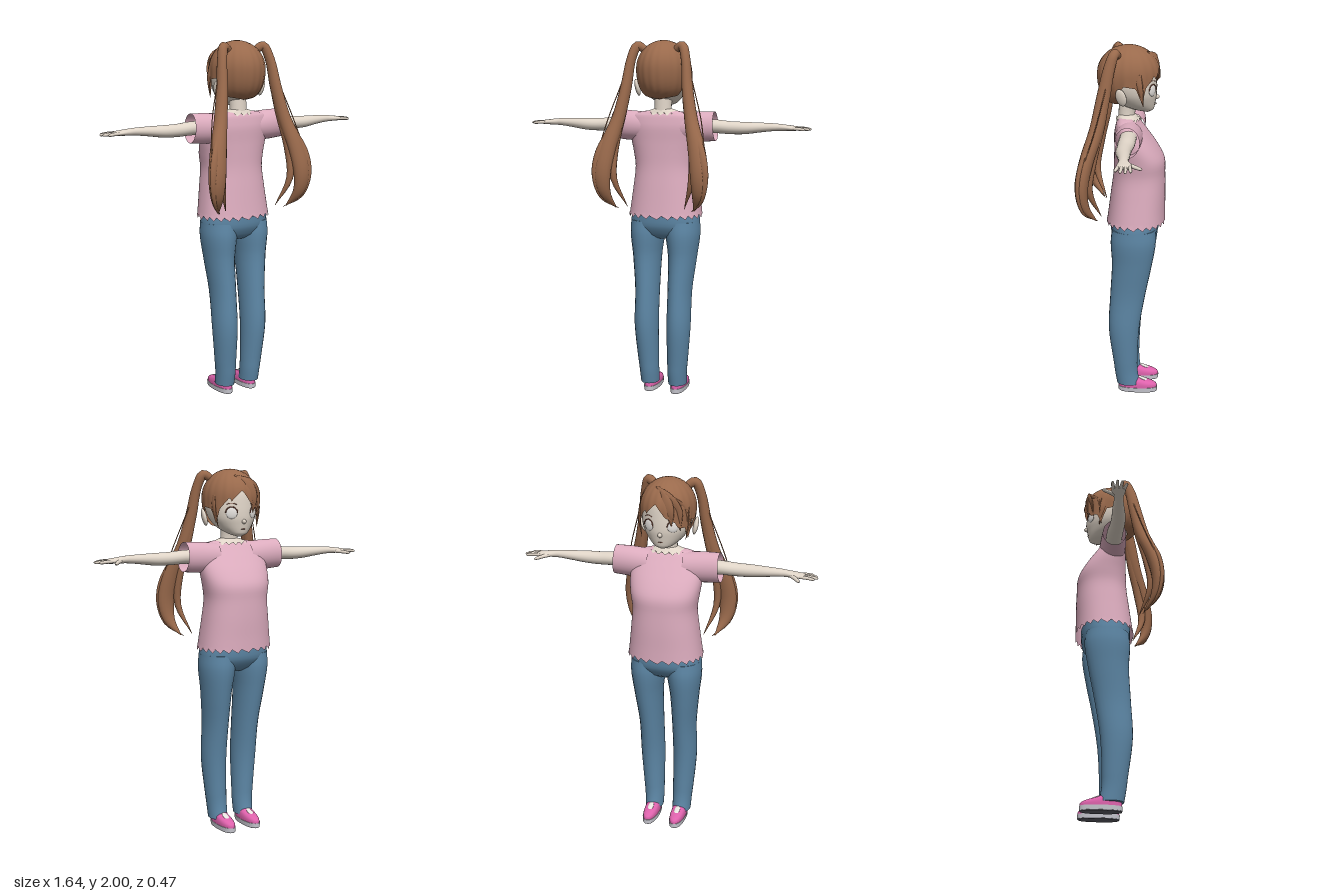
import * as THREE from 'three';

const V = (x, y, z) => new THREE.Vector3(x, y, z);
const X = V(1, 0, 0), Y = V(0, 1, 0), Z = V(0, 0, 1);
const mat = (name, color, double) => {
  const m = new THREE.MeshStandardMaterial({ color });
  m.name = name;
  if (double) m.side = THREE.DoubleSide;
  return m;
};

// Skin a list of closed rings (arrays of points) into a smooth surface
function skinRings(rings, caps) {
  const n = rings[0].length, pos = [], idx = [];
  const add = (p) => pos.push(p.x, p.y, p.z);
  rings.forEach((r) => r.forEach(add));
  for (let j = 0; j < rings.length - 1; j++) for (let i = 0; i < n; i++) {
    const a = j * n + i, b = j * n + (i + 1) % n, c = a + n, d = b + n;
    idx.push(a, c, b, b, c, d);
  }
  if (caps) [rings[0], rings[rings.length - 1]].forEach((r, end) => {
    const base = pos.length / 3;
    r.forEach(add);
    add(r.reduce((s, p) => s.add(p), V(0, 0, 0)).divideScalar(n));
    for (let i = 0; i < n; i++) {
      const a = base + i, b = base + (i + 1) % n;
      end ? idx.push(base + n, b, a) : idx.push(base + n, a, b);
    }
  });
  const g = new THREE.BufferGeometry();
  g.setAttribute('position', new THREE.Float32BufferAttribute(pos, 3));
  g.setIndex(idx);
  g.computeVertexNormals();
  return g;
}

// Sweep ellipses along rows of [x, y, z, radiusU, radiusV]
function sweep(rows, { axis, ref = Z, n = 20, p = 2, caps = true, steps = 4, edit } = {}) {
  const path = new THREE.CatmullRomCurve3(rows.map((r) => V(r[0], r[1], r[2])));
  const radii = new THREE.CatmullRomCurve3(rows.map((r, i) => V(r[3], r[4], i * 0.05)));
  const total = (rows.length - 1) * steps, rings = [];
  const pw = (c) => Math.sign(c) * Math.abs(c) ** (2 / p);
  for (let j = 0; j <= total; j++) {
    const c = path.getPoint(j / total), r = radii.getPoint(j / total);
    const t = axis || path.getTangent(j / total);
    const u = t.clone().cross(ref).normalize(), v = u.clone().cross(t);
    rings.push(Array.from({ length: n }, (_, i) => {
      const a = i / n * Math.PI * 2;
      const q = c.clone().addScaledVector(u, pw(Math.cos(a)) * Math.max(r.x, 0.0005))
        .addScaledVector(v, pw(Math.sin(a)) * Math.max(r.y, 0.0005));
      if (edit) edit(q, j, i);
      return q;
    }));
  }
  return skinRings(rings, caps);
}

// Hair cap: its lower edge follows [angle from face, height] points
function hairCap() {
  const edge = [[-180, 1.68], [-112, 1.7], [-97, 1.8], [-75, 1.79], [-63, 1.7], [-54, 1.76], [-38, 1.765], [-33, 1.79],
    [-12, 1.82], [8, 1.89], [20, 1.86], [30, 1.83], [34, 1.85], [54, 1.79], [62, 1.71], [74, 1.79], [97, 1.8], [112, 1.7], [180, 1.68]];
  const n = 120, rows = 18, rings = [];
  for (let j = 0; j < rows; j++) {
    rings.push(Array.from({ length: n }, (_, i) => {
      const deg = i / n * 360 - 180, a = deg * Math.PI / 180;
      const k = Math.max(1, edge.findIndex((e) => e[0] >= deg));
      const [e0, e1] = [edge[k - 1], edge[k]];
      const low = THREE.MathUtils.mapLinear(deg, e0[0], e1[0], e0[1], e1[1]);
      const th = Math.acos((low - 1.845) / 0.167) * (1 - j / (rows - 1)) + 0.001;
      let r = Math.sin(th);
      if (th > Math.PI / 2) r = Math.abs(deg) < 95 ? 0.97 + 0.03 * r : r ** 0.55;
      r *= 1 + 0.008 * Math.sin(a * 20);
      return V(0.149 * r * Math.sin(a), 1.845 + (th < Math.PI / 2 ? 0.155 : 0.167) * Math.cos(th), -0.03 - 0.17 * r * Math.cos(a));
    }));
  }
  return skinRings(rings, false);
}

export function createModel() {
  const model = new THREE.Group();
  model.name = 'girl';
  const hair = mat('brownHair', 0x9a6a4c, true), skin = mat('skin', 0xe0d5c8), shirt = mat('pinkShirt', 0xdcacbe, true);
  const denim = mat('blueDenim', 0x5d87a6), pink = mat('shoePink', 0xde62ac), sole = mat('soleGrey', 0xc8c8d0);
  const dark = mat('soleDark', 0x5c5c64), white = mat('white', 0xece8e4), lash = mat('lashBrown', 0x7d4a3a);
  const add = (name, geo, m, parent = model) => {
    const mesh = new THREE.Mesh(geo, m);
    mesh.name = name;
    parent.add(mesh);
    return mesh;
  };
  const ball = (name, m, p, s, parent) => {
    const b = add(name, new THREE.SphereGeometry(1, 20, 14), m, parent);
    b.position.set(...p);
    b.scale.set(...s);
    return b;
  };

  // Head, neck and face
  add('head', sweep([[0, 1.64, -0.13, 0.01, 0.01], [0, 1.655, -0.11, 0.05, 0.055], [0, 1.69, -0.07, 0.092, 0.104],
    [0, 1.74, -0.047, 0.125, 0.135], [0, 1.8, -0.035, 0.138, 0.145], [0, 1.88, -0.03, 0.13, 0.14],
    [0, 1.95, -0.03, 0.085, 0.09], [0, 1.98, -0.03, 0.02, 0.02]], { axis: Y, n: 32 }), skin);
  add('neck', sweep([[0, 1.57, -0.02, 0.055, 0.05], [0, 1.63, -0.02, 0.048, 0.045], [0, 1.71, -0.03, 0.05, 0.05]], { axis: Y }), skin);
  ball('nose', skin, [0, 1.722, -0.178], [0.012, 0.013, 0.018]);
  ball('mouth', lash, [0, 1.682, -0.1705], [0.016, 0.002, 0.004]);
  add('neckline', sweep([[0, 1.592, -0.028, 0.105, 0.066], [0, 1.614, -0.024, 0.088, 0.052], [0, 1.628, -0.02, 0.045, 0.042]],
    { axis: Y, n: 32, steps: 2, caps: false, edit: (q, j, i) => { if (!j && i % 2) q.y += 0.018; } }), skin);

  // Shirt body with ragged hem
  add('shirtBody', sweep([[0, 1.02, -0.073, 0.208, 0.162], [0, 1.1, -0.078, 0.198, 0.156], [0, 1.2, -0.085, 0.186, 0.15],
    [0, 1.3, -0.09, 0.177, 0.142], [0, 1.38, -0.09, 0.188, 0.138], [0, 1.45, -0.072, 0.198, 0.118],
    [0, 1.53, -0.042, 0.2, 0.088], [0, 1.59, -0.024, 0.178, 0.058], [0, 1.61, -0.02, 0.12, 0.042], [0, 1.618, -0.02, 0.06, 0.035]],
  { axis: Y, n: 72, p: 2.3, caps: false, edit: (q, j, i) => { if (!j) q.y += (i % 3) * 0.011; } }), shirt);

  // Jeans seat
  add('jeansSeat', sweep([[0, 0.9, -0.06, 0.1, 0.06], [0, 0.925, -0.062, 0.17, 0.1], [0, 0.98, -0.066, 0.197, 0.132],
    [0, 1.06, -0.067, 0.19, 0.137]], { axis: Y, n: 36, p: 2.3 }), denim);

  // Fringe locks swept across from the parting
  [[-0.06, 1.77, -0.172, 0.026], [-0.1, 1.745, -0.145, 0.026], [-0.125, 1.7, -0.105, 0.018]].forEach(([x, y, z, w]) =>
    add('fringeLock', sweep([[0.03, 1.965, -0.13, 0.006, 0.006], [x * 0.45, 1.92, -0.175, w, 0.008],
      [x * 0.9, 1.85, z - 0.014, w, 0.008], [x, y, z, 0.001, 0.001]], { n: 10 }), hair));
  add('hairCap', hairCap(), hair);

  for (const s of [1, -1]) {
    const side = new THREE.Group();
    side.name = s > 0 ? 'leftSide' : 'rightSide';
    model.add(side);
    const part = (name, rows, m, opts) => add(name, sweep(rows.map(([x, ...r]) => [x * s, ...r]), opts), m, side);

    // Eye with lashes and brow
    const eye = new THREE.Group();
    eye.name = 'eye';
    eye.position.set(0.065 * s, 1.768, -0.16);
    eye.rotation.y = -0.54 * s;
    side.add(eye);
    ball('eyeWhite', white, [0, 0, 0], [0.031, 0.031, 0.008], eye);
    add('lashes', new THREE.TorusGeometry(0.032, 0.003, 6, 20, Math.PI), lash, eye).position.z = -0.004;
    const brow = add('brow', new THREE.TorusGeometry(0.05, 0.002, 6, 14, 1.1), lash, eye);
    brow.position.set(0, 0.002, -0.002);
    brow.rotation.z = 1.02;

    const ear = ball('ear', skin, [0.143 * s, 1.742, 0], [0.014, 0.048, 0.03], side);
    ear.rotation.set(0.2, -0.35 * s, -0.15 * s);

    // Ponytail: main lock, inner lock, loose wisps, temple strand
    part('ponytail', [[0.085, 1.945, 0.02, 0.02, 0.02], [0.128, 1.968, 0.035, 0.026, 0.026], [0.155, 1.9, 0.06, 0.025, 0.03],
      [0.175, 1.75, 0.09, 0.03, 0.036], [0.208, 1.58, 0.125, 0.036, 0.038], [0.255, 1.42, 0.175, 0.048, 0.038],
      [0.278, 1.28, 0.2, 0.05, 0.036], [0.268, 1.17, 0.185, 0.034, 0.026], [0.225, 1.085, 0.125, 0.002, 0.002]], hair, { n: 16 });
    part('innerLock', [[0.15, 1.88, 0.06, 0.015, 0.02], [0.19, 1.62, 0.1, 0.022, 0.025], [0.222, 1.42, 0.145, 0.022, 0.025],
      [0.222, 1.25, 0.165, 0.018, 0.02], [0.165, 1.09, 0.105, 0.001, 0.001]], hair, { n: 10 });
    part('outerLock', [[0.22, 1.55, 0.14, 0.02, 0.02], [0.29, 1.4, 0.2, 0.025, 0.016], [0.312, 1.27, 0.215, 0.02, 0.014],
      [0.285, 1.15, 0.19, 0.012, 0.01], [0.21, 1.08, 0.12, 0.001, 0.001]], hair, { n: 10 });
    part('wisp', [[0.15, 1.95, 0.04, 0.003, 0.003], [0.2, 1.78, 0.08, 0.003, 0.003], [0.265, 1.58, 0.13, 0.003, 0.003],
      [0.305, 1.4, 0.19, 0.003, 0.003]], hair, { n: 6 });
    part('templeStrand', [[0.135, 1.86, -0.085, 0.005, 0.02], [0.138, 1.79, -0.1, 0.006, 0.016],
      [0.12, 1.69, -0.115, 0.001, 0.001]], hair, { n: 8 });

    // Sleeve and arm
    part('sleeve', [[0.1, 1.525, -0.04, 0.075, 0.08], [0.2, 1.53, -0.04, 0.072, 0.083], [0.295, 1.535, -0.043, 0.064, 0.08]],
      shirt, { ref: Y, n: 28, caps: false });
    part('arm', [[0.14, 1.535, -0.04, 0.045, 0.04], [0.3, 1.535, -0.04, 0.045, 0.037], [0.38, 1.53, -0.036, 0.041, 0.035],
      [0.46, 1.53, -0.036, 0.039, 0.033], [0.55, 1.535, -0.045, 0.032, 0.026], [0.63, 1.538, -0.051, 0.025, 0.02],
      [0.66, 1.537, -0.054, 0.027, 0.018], [0.7, 1.535, -0.059, 0.036, 0.015], [0.738, 1.533, -0.06, 0.037, 0.012],
      [0.752, 1.532, -0.06, 0.03, 0.006]], skin, { ref: Y });
    [0.795, 0.815, 0.82, 0.805].forEach((tip, k) => {
      const z = -0.032 - k * 0.019, spread = (1.5 - k) * 0.006;
      part('finger', [[0.725, 1.534, z, 0.009, 0.009], [(0.725 + tip) / 2, 1.533, z + spread / 2, 0.009, 0.009],
        [tip - 0.008, 1.53, z + spread, 0.007, 0.007], [tip, 1.529, z + spread, 0.001, 0.001]], skin, { ref: Y, n: 8 });
    });
    part('thumb', [[0.665, 1.534, -0.06, 0.014, 0.011], [0.7, 1.53, -0.1, 0.012, 0.01], [0.728, 1.525, -0.138, 0.008, 0.008],
      [0.735, 1.524, -0.15, 0.001, 0.001]], skin, { ref: Y, n: 10 });

    // Trouser leg
    part('trouserLeg', [[0.083, 0.05, -0.038, 0.052, 0.066], [0.084, 0.12, -0.026, 0.055, 0.066], [0.088, 0.2, -0.02, 0.059, 0.07],
      [0.096, 0.4, -0.013, 0.067, 0.087], [0.097, 0.6, -0.033, 0.067, 0.098], [0.105, 0.8, -0.058, 0.08, 0.112],
      [0.104, 0.92, -0.064, 0.096, 0.125], [0.1, 1.0, -0.066, 0.098, 0.12]], denim, { axis: Y, n: 24 });

    // Shoe
    part('shoeTread', [[0.08, 0, -0.092, 0.039, 0.109], [0.08, 0.004, -0.092, 0.039, 0.109]], dark, { axis: Y, n: 28, p: 2.4, steps: 1 });
    part('shoeSole', [[0.08, 0.004, -0.092, 0.041, 0.112], [0.08, 0.028, -0.092, 0.043, 0.113]], sole, { axis: Y, n: 28, p: 2.4, steps: 1 });
    part('shoeUpper', [[0.08, 0.026, -0.092, 0.041, 0.111], [0.08, 0.045, -0.091, 0.041, 0.108], [0.08, 0.06, -0.08, 0.039, 0.093],
      [0.08, 0.078, -0.05, 0.035, 0.062], [0.08, 0.1, -0.035, 0.03, 0.042]], pink, { axis: Y, n: 28, p: 2.2 });
    const tongue = ball('shoeTongue', white, [0.08 * s, 0.074, -0.122], [0.016, 0.006, 0.032], side);
    tongue.rotation.x = -0.4;
  }
  return model;
}
